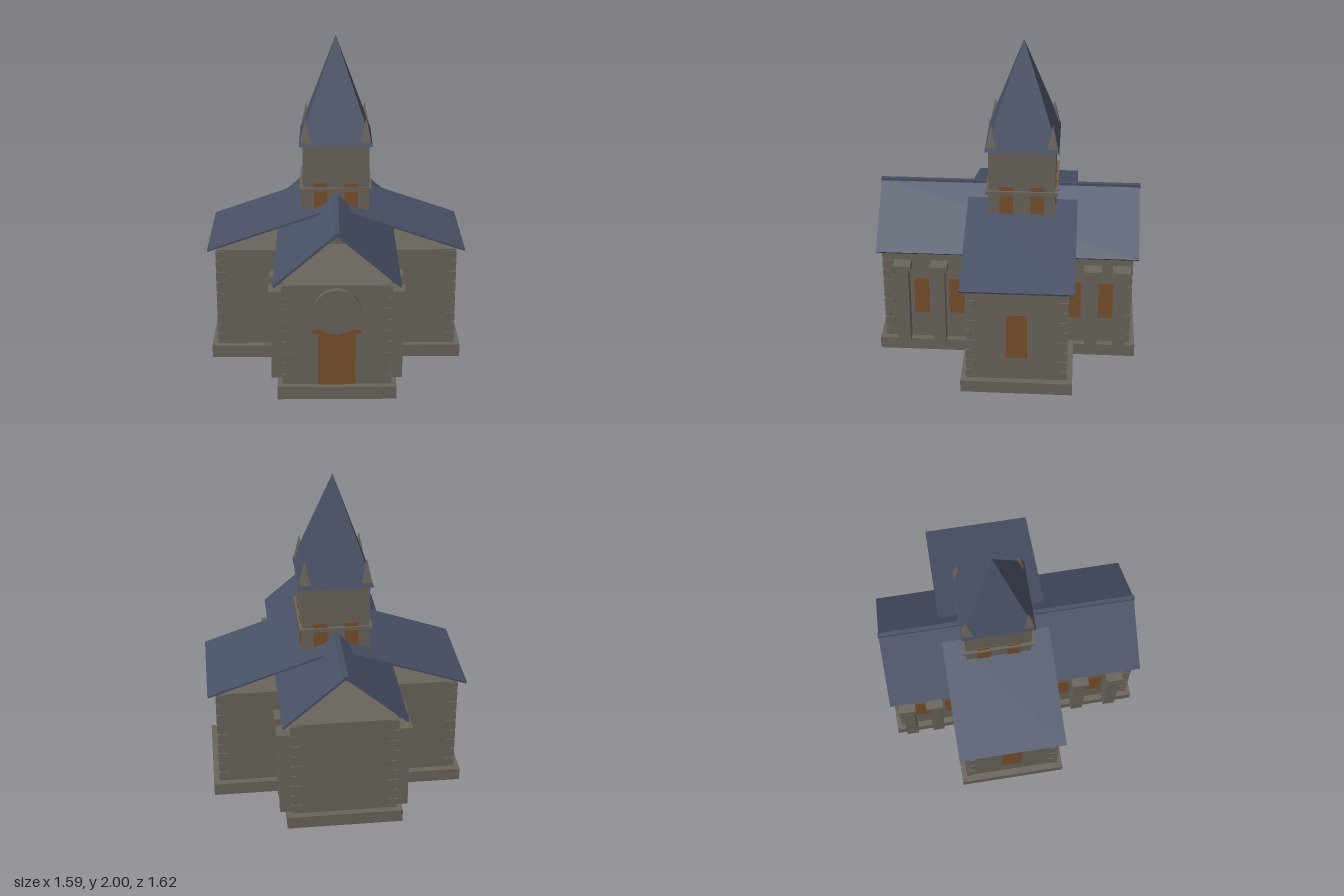
import * as THREE from 'three';

export function createModel() {
  const root = new THREE.Group();
  root.name = 'church';
  const mat = (name, color) => {
    const m = new THREE.MeshStandardMaterial({ color });
    m.name = name;
    return m;
  };
  const stone = mat('stone', 0x69645b);
  const slate = mat('slate', 0x485064);
  const amber = mat('amber wood', 0x774f2c);

  const add = (name, geo, material, x = 0, y = 0, z = 0) => {
    const m = new THREE.Mesh(geo, material);
    m.name = name;
    m.position.set(x, y, z);
    root.add(m);
    return m;
  };
  // Box given by its extents
  const block = (name, material, x0, x1, y0, y1, z0, z1) =>
    add(name, new THREE.BoxGeometry(x1 - x0, y1 - y0, z1 - z0), material,
      (x0 + x1) / 2, (y0 + y1) / 2, (z0 + z1) / 2);
  // Square pyramid with sides along the axes
  const pyramid = (name, material, half, x, y, z, h) => {
    const g = new THREE.ConeGeometry(half * Math.SQRT2, h, 4, 1).toNonIndexed();
    g.rotateY(Math.PI / 4);
    g.computeVertexNormals();
    return add(name, g, material, x, y + h / 2, z);
  };

  const zc = -0.082; // centre of the crossing
  const base = 0.08, top = 0.715;

  // Cross-shaped plinth and walls
  block('navePlinth', stone, -0.352, 0.352, 0, base, -0.81, 0.81);
  block('transeptPlinth', stone, -0.782, 0.782, 0, base, zc - 0.34, zc + 0.34);
  block('naveWalls', stone, -0.315, 0.315, base, top, -0.77, 0.77);
  block('transeptWalls', stone, -0.74, 0.74, base, top, zc - 0.3, zc + 0.3);

  // Corner stones, alternately long in x and in z
  const quoins = (hx, z, sz) => {
    const rows = 9, pitch = (top - base) / rows, out = 0.007;
    for (const sx of [-1, 1]) {
      for (let i = 0; i < rows; i++) {
        const lx = i % 2 ? 0.03 : 0.06, lz = i % 2 ? 0.06 : 0.03;
        add('cornerStone', new THREE.BoxGeometry(lx, pitch * 0.82, lz), stone,
          sx * (hx + out - lx / 2), base + (i + 0.5) * pitch, z + sz * (out - lz / 2));
      }
    }
  };
  for (const s of [-1, 1]) {
    quoins(0.315, s * 0.77, s);
    quoins(0.74, zc + s * 0.3, s);
  }

  // Buttresses and windows along the nave, one window on each transept end
  for (const s of [-1, 1]) {
    for (const z of [0.648, 0.423, -0.53, -0.708]) {
      add('buttress', new THREE.BoxGeometry(0.09, 0.53, 0.077), stone, s * 0.346, base + 0.265, z);
      add('buttressCap', new THREE.BoxGeometry(0.1, 0.04, 0.108), stone, s * 0.354, 0.625, z);
    }
    for (const z of [0.538, 0.318, -0.416, -0.615])
      add('naveWindow', new THREE.BoxGeometry(0.009, 0.255, 0.093), amber, s * 0.316, 0.387, z);
    add('transeptWindow', new THREE.BoxGeometry(0.009, 0.305, 0.125), amber, s * 0.741, 0.388, zc);
  }

  // Entrance and round window
  block('door', amber, -0.11, 0.11, base, 0.42, 0.768, 0.777);
  block('doorLintel', amber, -0.145, 0.145, 0.412, 0.44, 0.771, 0.78);
  const disc = new THREE.CylinderGeometry(0.143, 0.143, 0.04, 12);
  disc.rotateX(Math.PI / 2);
  add('roundWindow', disc.toNonIndexed(), stone, 0, 0.557, 0.782);

  // Thin roof slabs sloping down from the centre line, open at the gables
  const roof = (name, ridgeY, eaveX, eaveY, z0, z1, t) => {
    for (const s of [-1, 1]) {
      const len = Math.hypot(eaveX, ridgeY - eaveY);
      const g = new THREE.BoxGeometry(len, t, z1 - z0);
      g.translate(0, -t / 2, 0);
      const m = add(name, g, slate, s * eaveX / 2, (ridgeY + eaveY) / 2, (z0 + z1) / 2);
      m.rotation.z = -s * Math.atan2(ridgeY - eaveY, eaveX);
    }
  };
  roof('naveRoof', 1.048, 0.373, 0.727, -0.808, 0.808, 0.014);
  roof('transeptRoof', 1.005, 0.795, 0.73, zc - 0.342, zc + 0.338, 0.012);
  block('roofRidge', slate, -0.013, 0.013, 1.026, 1.053, -0.812, 0.812);

  // Tower with two string courses
  block('tower', stone, -0.205, 0.205, 0.7, 1.355, zc - 0.205, zc + 0.205);
  for (const [y0, y1] of [[0.818, 0.845], [1.066, 1.09]])
    block('towerBand', stone, -0.222, 0.222, y0, y1, zc - 0.222, zc + 0.222);

  // Paired belfry openings on each face
  for (let i = 0; i < 4; i++) {
    const a = i * Math.PI / 2;
    for (const o of [-0.095, 0.095]) {
      const m = add('belfryOpening', new THREE.BoxGeometry(0.083, 0.222, 0.009), amber,
        Math.sin(a) * 0.206 + Math.cos(a) * o, 1.006, zc + Math.cos(a) * 0.206 - Math.sin(a) * o);
      m.rotation.y = a;
    }
  }

  // Spire and corner pinnacles
  pyramid('spire', slate, 0.225, 0, 1.355, zc, 0.645);
  for (const sx of [-1, 1])
    for (const sz of [-1, 1])
      pyramid('pinnacle', stone, 0.036, sx * 0.185, 1.357, zc + sz * 0.185, 0.173);

  return root;
}
